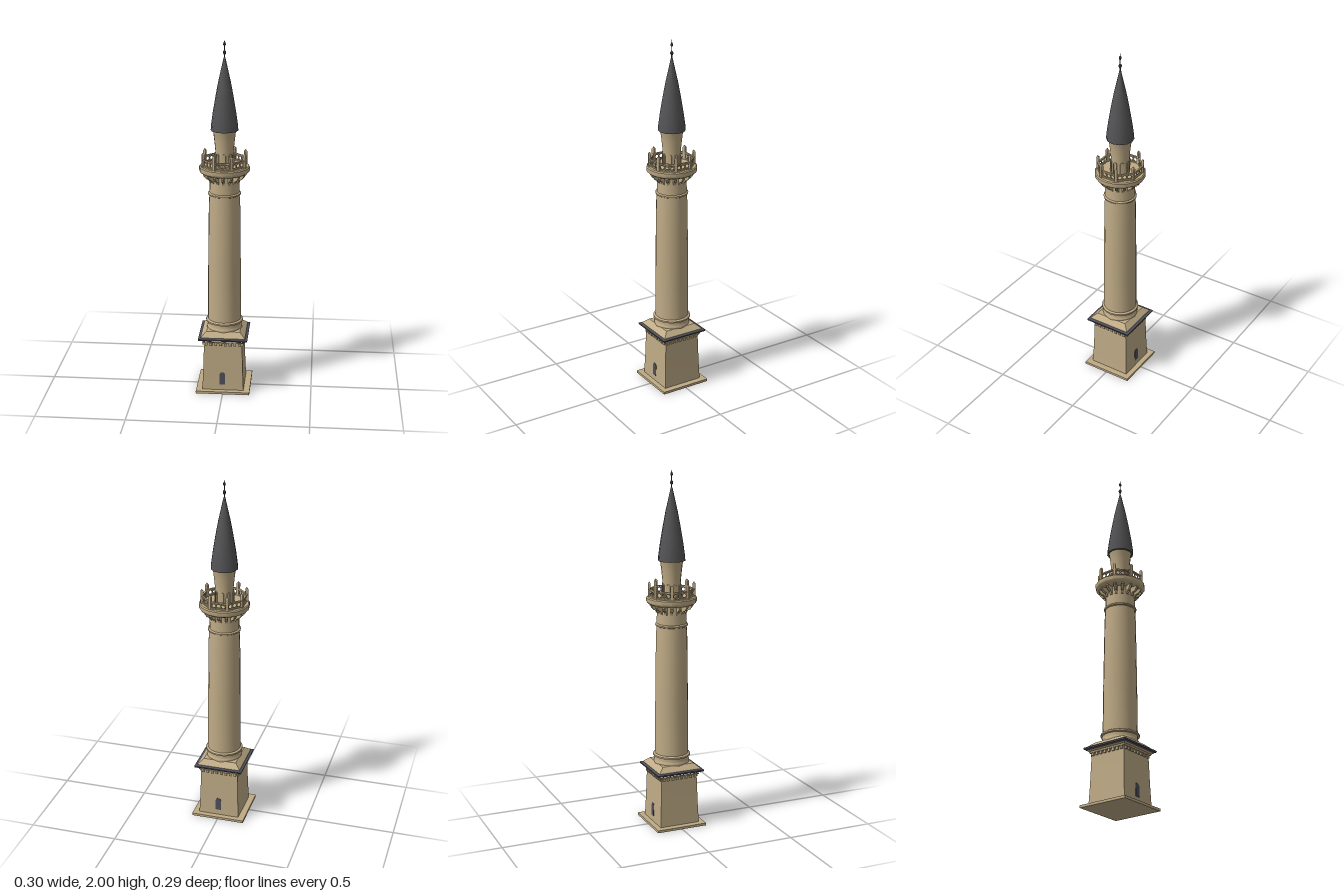
import * as THREE from 'three';
import { toCreasedNormals } from 'three/addons/utils/BufferGeometryUtils.js';

const material = (name, color) => {
  const m = new THREE.MeshStandardMaterial({ color });
  m.name = name;
  return m;
};

export function createModel() {
  const root = new THREE.Group();
  root.name = 'tower';
  const stone = material('sandstone', 0xbfab86);
  const lead = material('roof lead', 0x545456);
  const slate = material('slate trim', 0x4d4e58);

  const add = (name, geometry, mat, parent = root) => {
    const mesh = new THREE.Mesh(geometry, mat);
    mesh.name = name;
    parent.add(mesh);
    return mesh;
  };
  const group = (name, parent = root) => {
    const g = new THREE.Group();
    g.name = name;
    parent.add(g);
    return g;
  };
  // Turned part from [radius, height] pairs, bottom to top
  const turned = (name, profile, sides, mat, crease = 0.6, parent = root) => {
    const pts = profile.map(([r, y]) => new THREE.Vector2(r, y));
    return add(name, toCreasedNormals(new THREE.LatheGeometry(pts, sides), crease), mat, parent);
  };
  // Square part from [half width, height] pairs
  const square = (name, profile, mat) => {
    const mesh = turned(name, profile.map(([r, y]) => [r * Math.SQRT2, y]), 4, mat, 0.2);
    mesh.geometry.rotateY(Math.PI / 4);
    return mesh;
  };
  const box = (name, w, h, d, x, y, z, mat, parent) => {
    const mesh = add(name, new THREE.BoxGeometry(w, h, d), mat, parent);
    mesh.position.set(x, y, z);
    return mesh;
  };

  // Square base
  box('groundSlab', 0.304, 0.014, 0.294, 0, 0.007, 0, stone);
  square('baseWalls', [[0.117, 0.014], [0.112, 0.13], [0.107, 0.3]], stone);
  square('corniceUnderside', [[0.105, 0.298], [0.116, 0.3], [0.118, 0.309], [0.128, 0.314]], stone);
  square('corniceTrim', [[0.118, 0.312], [0.137, 0.32], [0.139, 0.329], [0.122, 0.334]], slate);
  square('baseRoof', [[0.125, 0.332], [0.122, 0.338], [0.094, 0.362], [0, 0.362]], stone);

  // Small teeth below the cornice
  const teeth = group('corniceTeeth');
  for (let side = 0; side < 4; side++) {
    const row = group('teethRow', teeth);
    row.rotation.y = side * Math.PI / 2;
    for (let i = 0; i < 8; i++) {
      box('tooth', 0.014, 0.015, 0.01, (i - 3.5) * 0.027, 0.291, 0.111, stone, row);
    }
  }

  // Doors on the front and back walls
  const doorShape = new THREE.Shape([
    [-0.016, 0], [0.016, 0], [0.016, 0.062], [0.009, 0.074], [-0.009, 0.074], [-0.016, 0.062],
  ].map(([x, y]) => new THREE.Vector2(x, y)));
  const doorGeometry = new THREE.ExtrudeGeometry(doorShape, { depth: 0.004, bevelEnabled: false });
  for (const turn of [0, Math.PI]) {
    const holder = group('doorway');
    holder.rotation.y = turn;
    const door = add('door', doorGeometry, slate, holder);
    door.position.set(-0.003, 0.046, 0.1138);
    door.rotation.x = -0.043;
  }

  // Round shaft with its mouldings
  turned('shaftFoot', [[0.1, 0.355], [0.1, 0.37], [0.096, 0.376], [0.096, 0.396],
    [0.105, 0.399], [0.105, 0.408], [0.094, 0.414]], 20, stone);
  turned('shaft', [[0.094, 0.4], [0.092, 0.7], [0.087, 1.08], [0.083, 1.15], [0.081, 1.24], [0.081, 1.27]], 20, stone);
  turned('shaftRing', [[0.082, 1.142], [0.09, 1.146], [0.091, 1.154], [0.082, 1.16]], 20, stone);

  // Brackets carrying the gallery
  const bracketShape = new THREE.Shape([
    [0.076, 1.215], [0.084, 1.218], [0.092, 1.235], [0.106, 1.24], [0.12, 1.258], [0.12, 1.275], [0.076, 1.275],
  ].map(([x, y]) => new THREE.Vector2(x, y)));
  const bracketGeometry = new THREE.ExtrudeGeometry(bracketShape, { depth: 0.014, bevelEnabled: false });
  bracketGeometry.translate(0, 0, -0.007);
  const brackets = group('galleryBrackets');
  for (let i = 0; i < 16; i++) {
    add('bracket', bracketGeometry, stone, brackets).rotation.y = i * Math.PI / 8;
  }
  turned('galleryFloor', [[0.07, 1.264], [0.12, 1.266], [0.134, 1.274], [0.139, 1.282],
    [0.139, 1.302], [0.134, 1.308], [0, 1.308]], 16, stone);

  // Eight-sided railing with pierced panels
  const railing = group('railing');
  const postRadius = 0.122;
  const middle = postRadius * Math.cos(Math.PI / 8);
  const span = 2 * postRadius * Math.sin(Math.PI / 8);
  const ringGeometry = new THREE.TorusGeometry(0.0115, 0.0025, 5, 10);
  for (let i = 0; i < 8; i++) {
    const post = group('post', railing);
    post.rotation.y = (i + 0.5) * Math.PI / 4;
    box('postShaft', 0.015, 0.072, 0.015, 0, 1.342, postRadius, stone, post);
    const cap = add('postCap', new THREE.ConeGeometry(0.0106, 0.012, 4).toNonIndexed(), stone, post);
    cap.geometry.computeVertexNormals();
    cap.geometry.rotateY(Math.PI / 4);
    cap.position.set(0, 1.384, postRadius);

    const panel = group('panel', railing);
    panel.rotation.y = i * Math.PI / 4;
    box('topRail', span, 0.007, 0.009, 0, 1.347, middle, stone, panel);
    box('bottomRail', span, 0.006, 0.009, 0, 1.312, middle, stone, panel);
    for (const x of [-0.026, 0, 0.026]) {
      add('tracery', ringGeometry, stone, panel).position.set(x, 1.329, middle);
    }
    for (const x of [-0.013, 0.013]) {
      box('baluster', 0.003, 0.034, 0.004, x, 1.329, middle, stone, panel);
    }
  }

  // Upper drum, with arched niches around its foot
  turned('upperDrum', [[0.05, 1.305], [0.05, 1.39], [0.056, 1.45], [0.062, 1.5], [0.066, 1.512]], 16, stone);
  const nicheShape = new THREE.Shape();
  nicheShape.moveTo(-0.011, 0).lineTo(0.011, 0).lineTo(0.011, 0.062)
    .absarc(0, 0.062, 0.011, 0, Math.PI, false).lineTo(-0.011, 0);
  const opening = new THREE.Path();
  opening.moveTo(-0.007, 0.005).lineTo(-0.007, 0.062)
    .absarc(0, 0.062, 0.007, Math.PI, 0, true).lineTo(0.007, 0.005).lineTo(-0.007, 0.005);
  nicheShape.holes.push(opening);
  const nicheGeometry = new THREE.ExtrudeGeometry(nicheShape, { depth: 0.005, bevelEnabled: false, curveSegments: 6 });
  const niches = group('drumNiches');
  for (let i = 0; i < 8; i++) {
    const holder = group('niche', niches);
    holder.rotation.y = i * Math.PI / 4;
    add('nicheFrame', nicheGeometry, stone, holder).position.set(0, 1.308, 0.048);
  }

  // Pointed roof
  turned('spire', [[0, 1.505], [0.075, 1.505], [0.0735, 1.53], [0.064, 1.6], [0.049, 1.69],
    [0.033, 1.775], [0.016, 1.85], [0.005, 1.9], [0, 1.902]], 12, lead);

  // Beaded finial
  turned('finial', [[0.003, 1.895], [0.003, 1.915], [0.008, 1.922], [0.009, 1.928], [0.007, 1.935],
    [0.0025, 1.94], [0.0025, 1.962], [0.007, 1.968], [0.0075, 1.973], [0.005, 1.98],
    [0.002, 1.985], [0, 2]], 8, lead, 1);
  return root;
}
